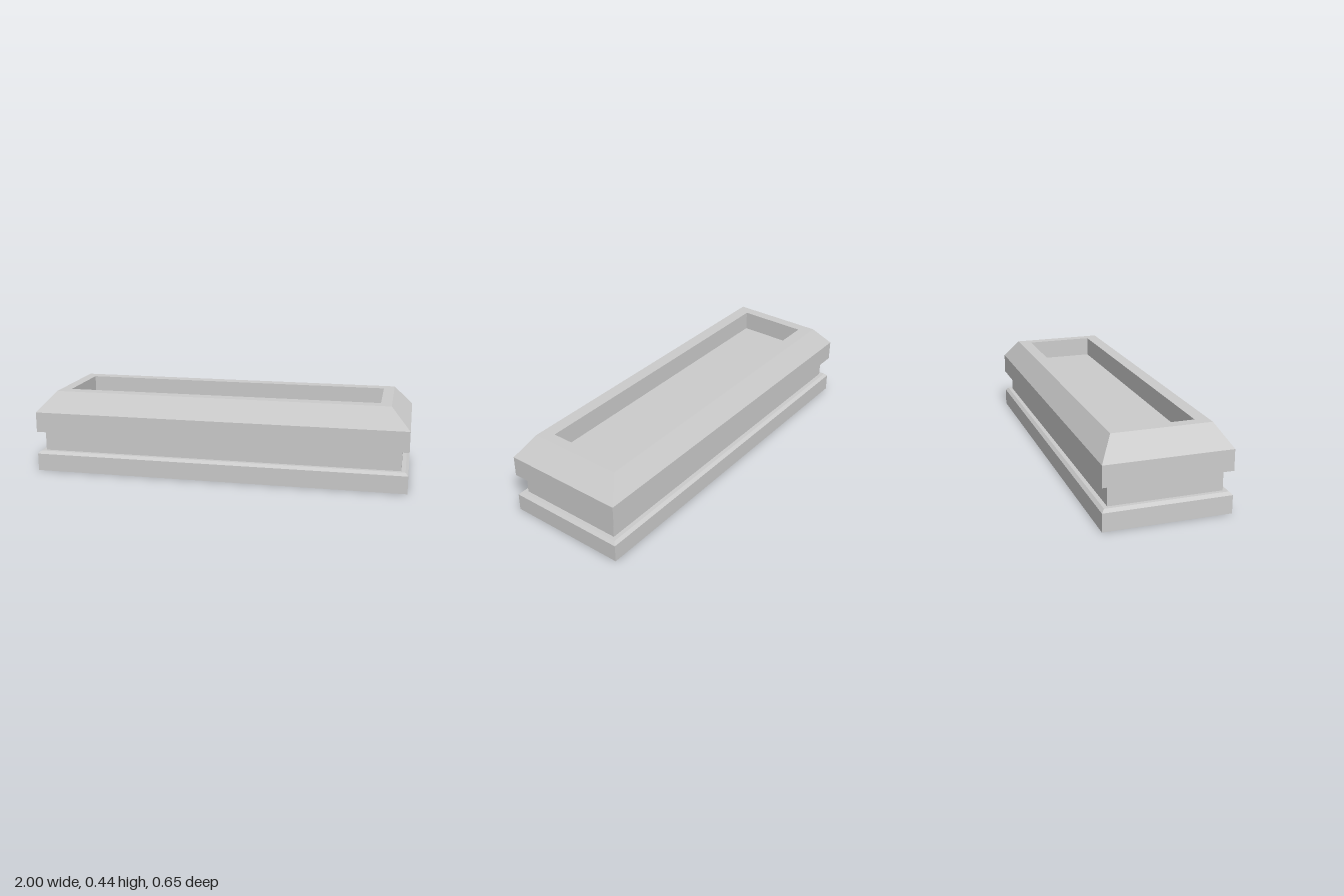
import * as THREE from 'three';

const stone = new THREE.MeshStandardMaterial({ color: 0xcccccc, side: THREE.DoubleSide });
stone.name = 'pale grey stone';

// Four corners of a rectangular section: half width, half depth, height
function corners([w, d, y]) {
  return [[w, y, d], [w, y, -d], [-w, y, -d], [-w, y, d]];
}

// Flat-faced skin joining rectangular sections in order, optionally closed at the end
function rectangularShell(name, sections, closeEnd = false) {
  const positions = [];
  const quad = (a, b, c, d) => positions.push(...a, ...b, ...c, ...a, ...c, ...d);
  for (let i = 0; i < sections.length - 1; i++) {
    const low = corners(sections[i]);
    const high = corners(sections[i + 1]);
    for (let k = 0; k < 4; k++) {
      const n = (k + 1) % 4;
      quad(low[k], low[n], high[n], high[k]);
    }
  }
  if (closeEnd) quad(...corners(sections[sections.length - 1]));
  const geometry = new THREE.BufferGeometry();
  geometry.setAttribute('position', new THREE.Float32BufferAttribute(positions, 3));
  geometry.computeVertexNormals();
  const mesh = new THREE.Mesh(geometry, stone);
  mesh.name = name;
  return mesh;
}

export function createModel() {
  const group = new THREE.Group();
  group.name = 'steppedPlanter';

  // Plinth, open underneath, with a small bevel and a ledge
  group.add(rectangularShell('plinth', [
    [1, 0.326, 0], [1, 0.326, 0.094], [0.985, 0.311, 0.109], [0.964, 0.289, 0.109],
  ]));

  // Recessed neck
  group.add(rectangularShell('neck', [[0.964, 0.289, 0.109], [0.964, 0.289, 0.218]]));

  // Overhanging cap with sloping sides and a flat rim
  group.add(rectangularShell('cap', [
    [0.964, 0.289, 0.218], [1, 0.326, 0.218], [1, 0.326, 0.327],
    [0.9, 0.254, 0.436], [0.843, 0.186, 0.436],
  ]));

  // Sunken tray in the top
  group.add(rectangularShell('tray', [[0.843, 0.186, 0.436], [0.843, 0.186, 0.329]], true));

  return group;
}
